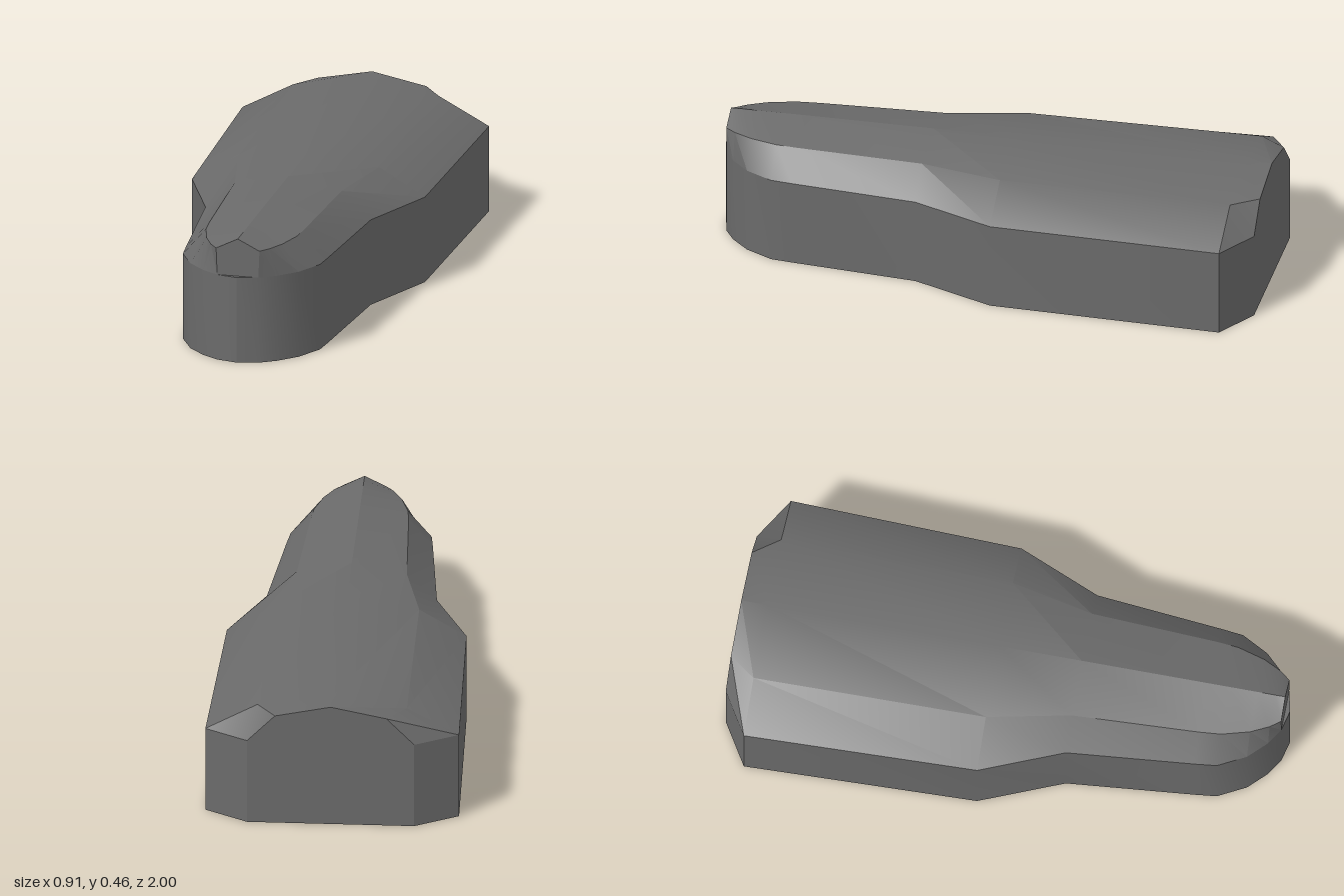
import * as THREE from 'three';
import { toCreasedNormals } from 'three/addons/utils/BufferGeometryUtils.js';

const WALL_Y = 0.32, SHOULDER_Y = 0.42, RIDGE_Y = 0.46, CREASE = 0.38;

// Stations along the length: [z, wall half width, shoulder half width]
const stations = [
  [-1, 0.3, 0.2], [-0.905, 0.455, 0.268], [-0.06, 0.43, 0.26], [0.24, 0.305, 0.197],
  [0.7, 0.262, 0.175], [0.78, 0.253, 0.168], [0.88, 0.2, 0.14], [0.945, 0.135, 0.108],
  [0.982, 0.076, 0.08],
];

// Straight-walled lower body, extruded from the plan outline
function lowerBodyGeometry() {
  const side = stations.map(([z, w]) => new THREE.Vector2(w, -z));
  const mirrored = side.map((p) => new THREE.Vector2(-p.x, p.y)).reverse();
  const shape = new THREE.Shape([...side, new THREE.Vector2(0, -1), ...mirrored]);
  const geo = new THREE.ExtrudeGeometry(shape, { depth: WALL_Y, bevelEnabled: false });
  geo.rotateX(-Math.PI / 2);
  return toCreasedNormals(geo, CREASE);
}

// Faceted roof lofted through five-point sections, closed at both ends
function roofGeometry() {
  const sections = stations.map(([z, w, s]) => [
    [w, WALL_Y, z], [s, SHOULDER_Y, z], [0, RIDGE_Y, z], [-s, SHOULDER_Y, z], [-w, WALL_Y, z],
  ]);
  const positions = [];
  const tri = (a, b, c) => positions.push(...a, ...b, ...c);
  for (let i = 0; i < sections.length - 1; i++) {
    const p = sections[i], q = sections[i + 1];
    for (let j = 0; j < 4; j++) {
      tri(p[j], p[j + 1], q[j + 1]);
      tri(p[j], q[j + 1], q[j]);
    }
  }
  const back = sections[0], front = sections[sections.length - 1];
  for (let j = 1; j < 4; j++) {
    tri(front[0], front[j], front[j + 1]);
    tri(back[0], back[j + 1], back[j]);
  }
  const geo = new THREE.BufferGeometry();
  geo.setAttribute('position', new THREE.Float32BufferAttribute(positions, 3));
  return toCreasedNormals(geo, CREASE);
}

export function createModel() {
  const grey = new THREE.MeshStandardMaterial({ color: 0x6a6a6a });
  grey.name = 'grey';

  const group = new THREE.Group();
  group.name = 'taperedBlock';
  const parts = { lowerBody: lowerBodyGeometry(), facetedRoof: roofGeometry() };
  for (const [name, geometry] of Object.entries(parts)) {
    const mesh = new THREE.Mesh(geometry, grey);
    mesh.name = name;
    group.add(mesh);
  }
  return group;
}
